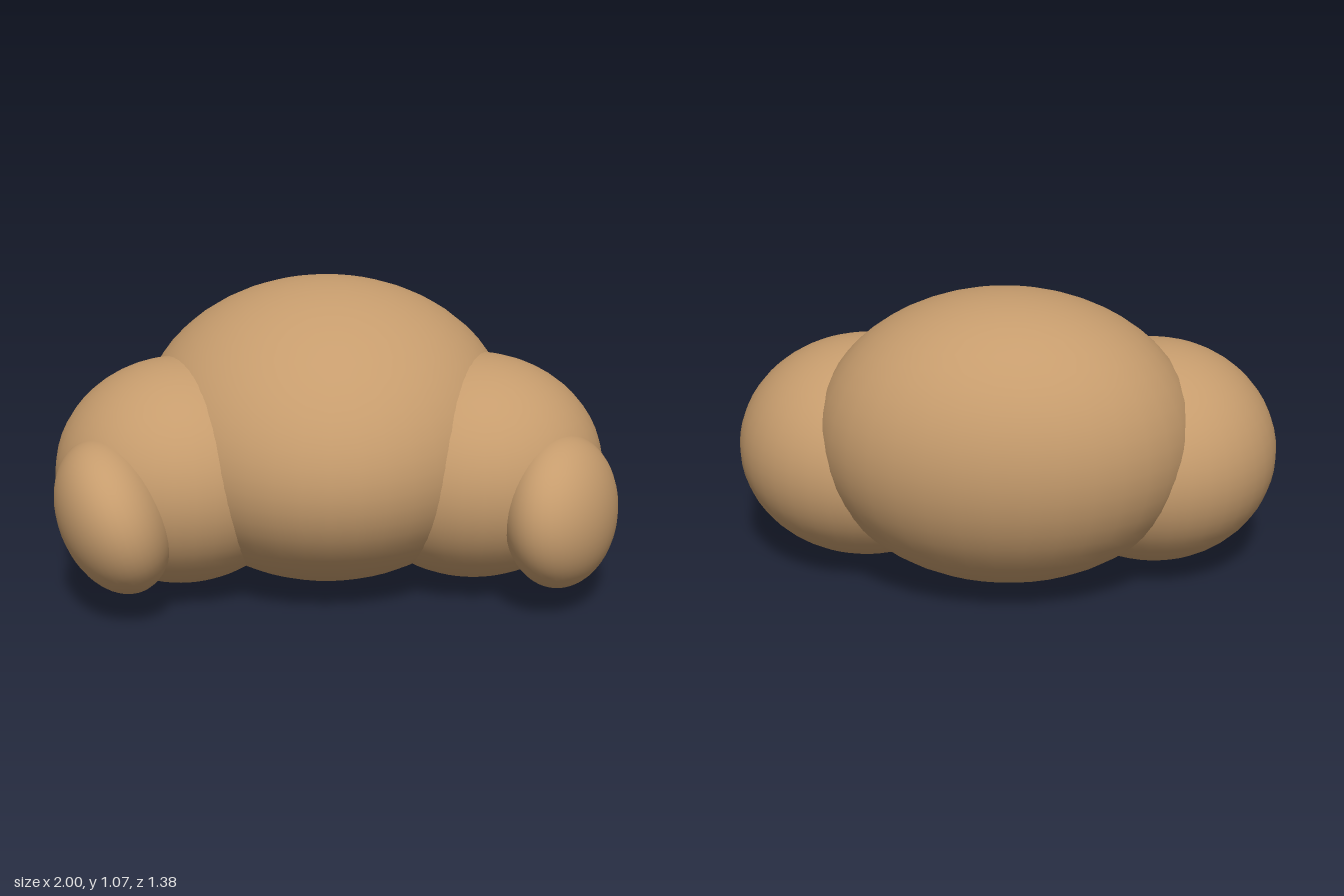
import * as THREE from 'three';

const crust = new THREE.MeshStandardMaterial({ color: 0xc69c6d });

// Ellipsoid whose section narrows (taper) and drops (droop) towards +z
function lobe(name, center, radii, { taper = 0, droop = 0, rotation = [0, 0, 0] } = {}) {
  const geometry = new THREE.SphereGeometry(1, 40, 28);
  const p = geometry.attributes.position;
  const n = geometry.attributes.normal;
  const normal = new THREE.Vector3();
  for (let i = 0; i < p.count; i++) {
    const x = p.getX(i), y = p.getY(i), z = p.getZ(i);
    const s = 1 - taper * z;
    p.setXYZ(i, x * s * radii[0], y * s * radii[1] - droop * z, z * radii[2]);
    // Exact normal of the deformed surface, so the seam stays smooth
    const nx = x / (s * radii[0]), ny = y / (s * radii[1]);
    const nz = (z + (taper * (x * x + y * y)) / s + droop * ny) / radii[2];
    normal.set(nx, ny, nz).normalize();
    n.setXYZ(i, normal.x, normal.y, normal.z);
  }
  const mesh = new THREE.Mesh(geometry, crust);
  mesh.name = name;
  mesh.position.set(...center);
  mesh.rotation.set(...rotation);
  return mesh;
}

export function createModel() {
  const croissant = new THREE.Group();
  croissant.name = 'croissant';

  // Large egg-shaped middle, fuller at the back
  croissant.add(lobe('middle', [-0.025, 0.535, -0.03], [0.68, 0.53, 0.66], { taper: 0.1, droop: 0.045 }));

  // Side rolls, slightly different on each side
  croissant.add(lobe('leftRoll', [0.5, 0.432, 0.055], [0.47, 0.402, 0.465]));
  croissant.add(lobe('rightRoll', [-0.55, 0.432, 0.085], [0.45, 0.402, 0.468]));

  // Small ends curling forward and inward
  croissant.add(lobe('leftEnd', [0.787, 0.354, 0.35], [0.187, 0.268, 0.297], { rotation: [0, -0.45, 0.08] }));
  croissant.add(lobe('rightEnd', [-0.773, 0.36, 0.385], [0.19, 0.275, 0.31], { rotation: [0, 0.24, 0.3] }));

  return croissant;
}
